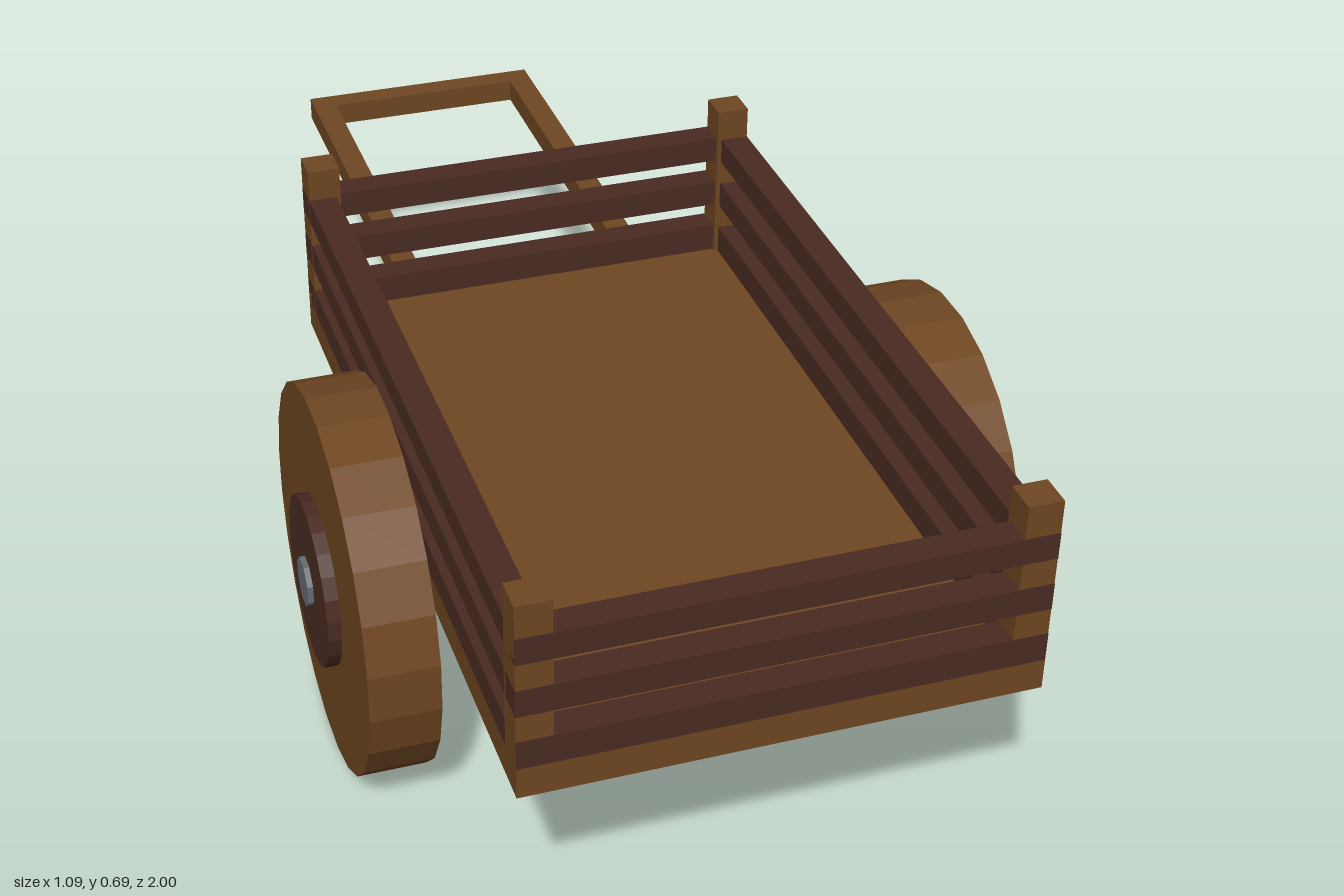
import * as THREE from 'three';

const wood = new THREE.MeshStandardMaterial({ name: 'wood', color: 0x6f4722, flatShading: true });
const darkWood = new THREE.MeshStandardMaterial({ name: 'darkWood', color: 0x4a2b23, flatShading: true });
const iron = new THREE.MeshStandardMaterial({ name: 'iron', color: 0x666b73, flatShading: true });

export function createModel() {
  const cart = new THREE.Group();
  cart.name = 'handcart';

  // Box given by its minimum and maximum corners
  const box = (name, material, [x0, y0, z0], [x1, y1, z1]) => {
    const mesh = new THREE.Mesh(new THREE.BoxGeometry(x1 - x0, y1 - y0, z1 - z0), material);
    mesh.position.set((x0 + x1) / 2, (y0 + y1) / 2, (z0 + z1) / 2);
    mesh.name = name;
    cart.add(mesh);
  };

  // Disc or rod lying along x, on the wheel axis
  const rod = (name, material, radius, x0, x1, sides) => {
    const geometry = new THREE.CylinderGeometry(radius, radius, x1 - x0, sides);
    geometry.rotateY(Math.PI / sides).rotateZ(Math.PI / 2);
    const mesh = new THREE.Mesh(geometry, material);
    mesh.position.set((x0 + x1) / 2, 0.307, 0.37);
    mesh.name = name;
    cart.add(mesh);
  };

  const W = 0.386, BACK = -0.26, FRONT = 1, POST = 0.053;

  // Bed
  box('bed', wood, [-W, 0.37, BACK], [W, 0.42, FRONT]);

  // Corner posts, just inside the end rails
  for (const x of [-W, W - POST]) {
    for (const z of [BACK + 0.001, FRONT - POST - 0.001]) {
      box('cornerPost', wood, [x, 0.42, z], [x + POST, 0.693, z + POST]);
    }
  }

  // Three rails on every side
  const T = 0.046;
  for (const [y0, y1] of [[0.42, 0.467], [0.51, 0.554], [0.597, 0.64]]) {
    box('frontRail', darkWood, [-W, y0, FRONT - T], [W, y1, FRONT]);
    box('backRail', darkWood, [-W, y0, BACK], [W, y1, BACK + T]);
    for (const x of [-W, W - T]) {
      box('sideRail', darkWood, [x, y0, BACK + POST], [x + T, y1, FRONT - POST]);
    }
  }

  // Pull handle
  for (const x of [-0.22, 0.176]) {
    box('handleShaft', wood, [x, 0.378, -1], [x + 0.042, 0.419, BACK]);
  }
  box('handleBar', wood, [-0.178, 0.378, -1], [0.176, 0.419, -0.958]);

  // Axle, wheels, hubs and axle caps
  rod('axle', iron, 0.032, -0.4, 0.4, 8);
  for (const side of [-1, 1]) {
    const pair = (a, b) => (side > 0 ? [a, b] : [-b, -a]);
    rod('wheel', wood, 0.307, ...pair(0.404, 0.513), 24);
    rod('hub', darkWood, 0.135, ...pair(0.383, 0.534), 24);
    rod('axleCap', iron, 0.04, ...pair(0.373, 0.543), 8);
  }
  return cart;
}
